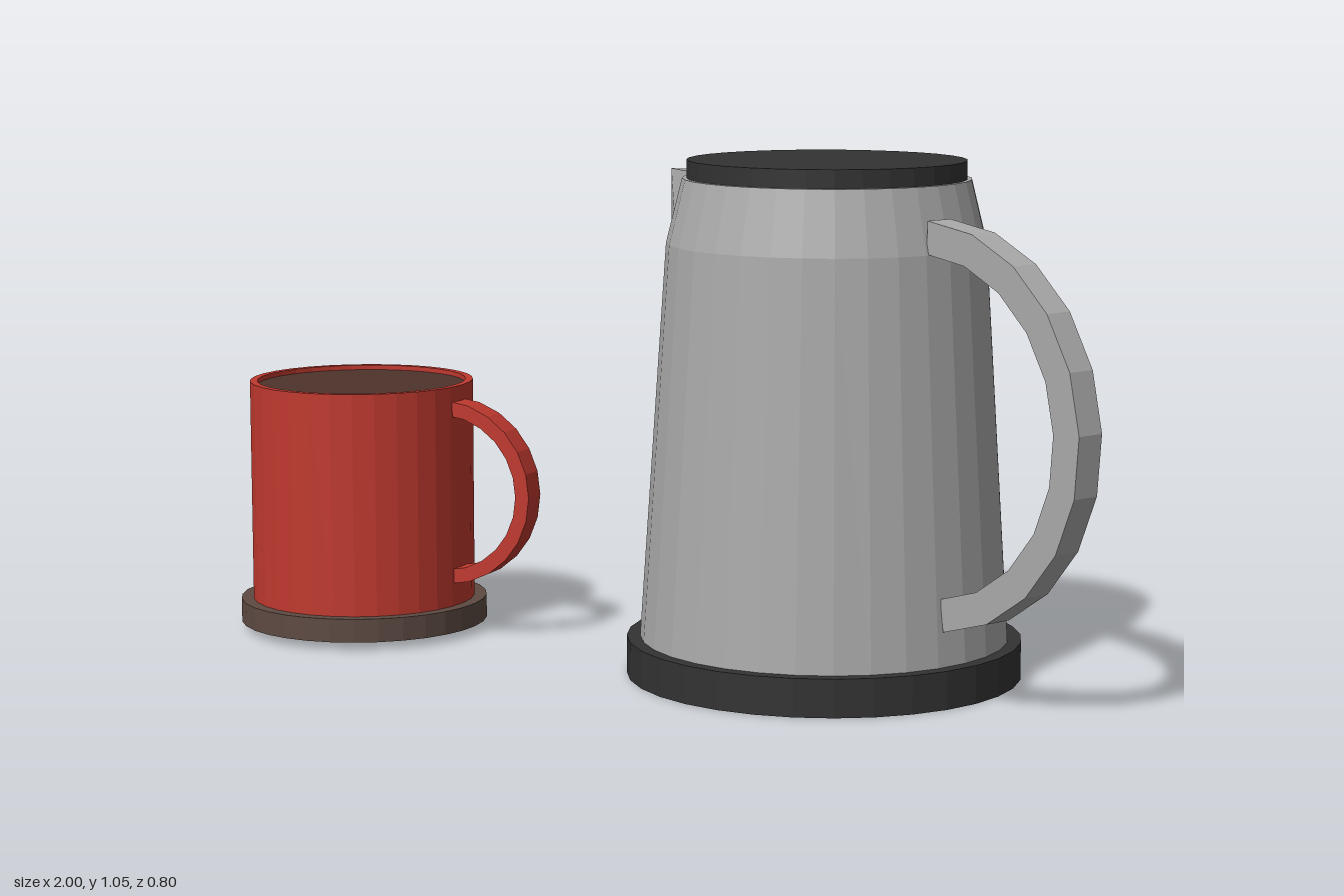
import * as THREE from 'three';
import { ConvexGeometry } from 'three/addons/geometries/ConvexGeometry.js';

const SIDES = 32;
const mat = (color) => new THREE.MeshStandardMaterial({ color, flatShading: true });
const grey = mat(0xaaaaaa), black = mat(0x333333), red = mat(0xc0392f);
const brown = mat(0x5d4a42), coffeeBrown = mat(0x4e342c);

function add(parent, name, geometry, material) {
  const mesh = new THREE.Mesh(geometry, material);
  mesh.name = name;
  parent.add(mesh);
  return mesh;
}

// Upright disc between two heights
function disc(parent, name, radius, y0, y1, material) {
  const geo = new THREE.CylinderGeometry(radius, radius, y1 - y0, SIDES);
  add(parent, name, geo, material).position.y = (y0 + y1) / 2;
}

// Turned body from [radius, height] pairs
const lathe = (profile) =>
  new THREE.LatheGeometry(profile.map(([r, y]) => new THREE.Vector2(r, y)), SIDES);

// Flat bar bent along an arc in the xy plane, centred on z = 0
function arcBar(cx, cy, outer, inner, a0, a1, width, segments) {
  const ring = (r) => Array.from({ length: segments + 1 }, (_, i) => {
    const a = THREE.MathUtils.degToRad(a0 + (a1 - a0) * i / segments);
    return new THREE.Vector2(cx + r * Math.cos(a), cy + r * Math.sin(a));
  });
  const shape = new THREE.Shape([...ring(outer), ...ring(inner).reverse()]);
  const geo = new THREE.ExtrudeGeometry(shape, { depth: width, bevelEnabled: false });
  return geo.translate(0, 0, -width / 2);
}

function createPot() {
  const pot = new THREE.Group();
  pot.name = 'pot';
  disc(pot, 'potBase', 0.402, 0, 0.077, black);
  add(pot, 'potBody', lathe([[0, 0.07], [0.375, 0.07], [0.322, 0.88], [0.29, 1.01], [0, 1.01]]), grey);
  disc(pot, 'potLid', 0.281, 1.005, 1.047, black);

  // Handle bar, turned towards the front
  const handle = add(pot, 'potHandle', arcBar(0.315, 0.545, 0.402, 0.337, -82, 90, 0.063, 10), grey);
  handle.rotation.y = -THREE.MathUtils.degToRad(27);

  // Wedge-shaped spout at the rim
  const corners = [
    [-0.385, 1.01, -0.12], [-0.26, 1.01, -0.14], [-0.285, 1.01, -0.02],
    [-0.385, 0.885, -0.12], [-0.285, 0.84, -0.14], [-0.328, 0.84, -0.01],
  ];
  add(pot, 'potSpout', new ConvexGeometry(corners.map((c) => new THREE.Vector3(...c))), grey);
  pot.position.set(0.345, 0, 0);
  return pot;
}

function createMug() {
  const mug = new THREE.Group();
  mug.name = 'mug';
  disc(mug, 'coaster', 0.266, 0.017, 0.067, brown);
  add(mug, 'mugBody', lathe([[0, 0.06], [0.24, 0.06], [0.24, 0.54], [0.224, 0.54], [0.224, 0.5]]), red);
  disc(mug, 'coffee', 0.225, 0.5, 0.53, coffeeBrown);
  const handle = add(mug, 'mugHandle', arcBar(0.215, 0.312, 0.198, 0.167, -88, 88, 0.06, 12), red);
  handle.position.z = 0.01;
  mug.position.set(-0.735, 0, -0.053);
  return mug;
}

export function createModel() {
  const model = new THREE.Group();
  model.name = 'potAndMug';
  model.add(createPot(), createMug());
  return model;
}
